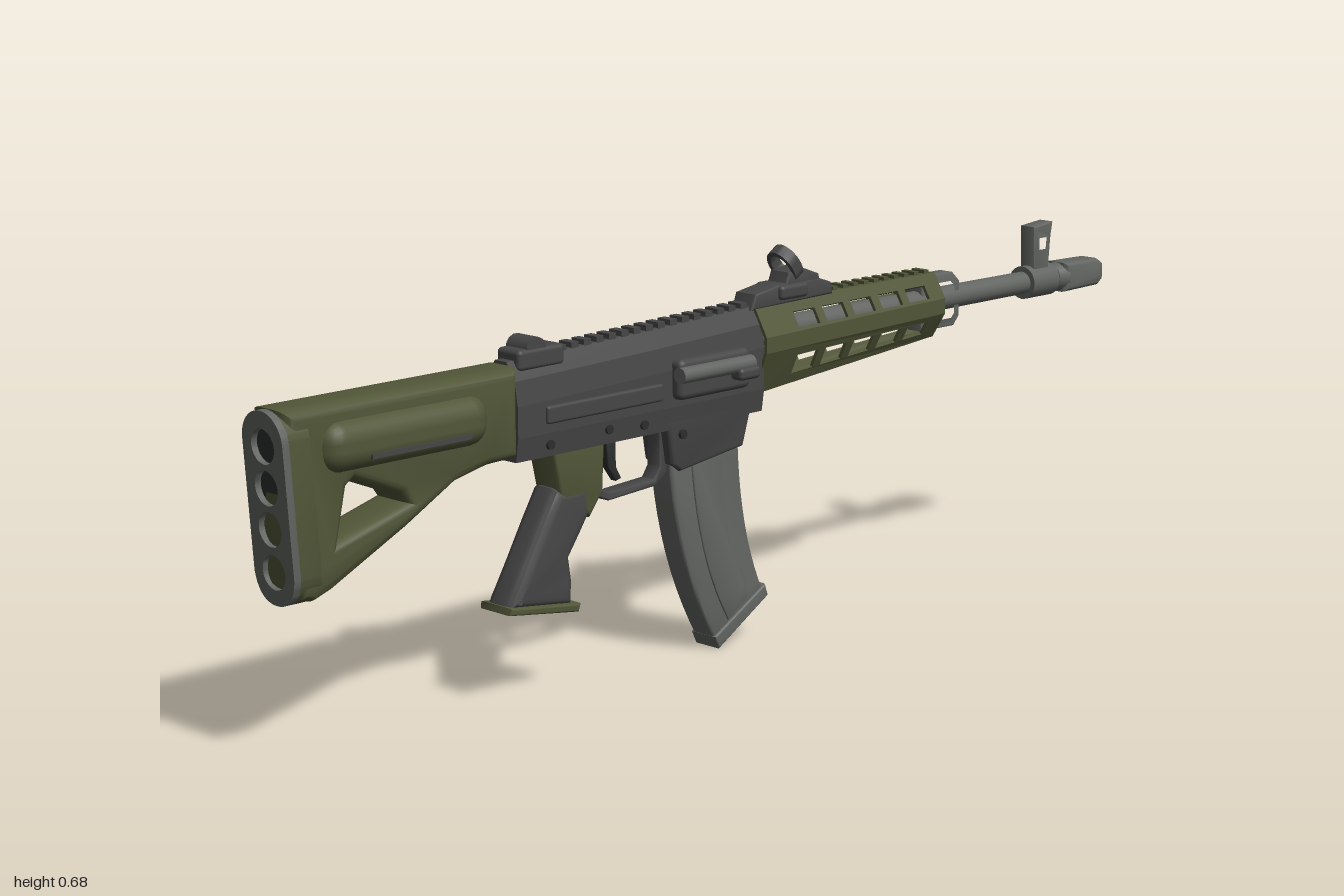
import * as THREE from 'three';
import { toCreasedNormals } from 'three/addons/utils/BufferGeometryUtils.js';
import { RoundedBoxGeometry } from 'three/addons/geometries/RoundedBoxGeometry.js';

const mat = (name, color) => Object.assign(new THREE.MeshStandardMaterial({ color }), { name });

export function createModel() {
  const olive = mat('olive', 0x515638), dark = mat('dark grey', 0x464647);
  const steel = mat('steel grey', 0x626562), black = mat('black', 0x2c2d2d);
  const model = new THREE.Group();
  model.name = 'rifle';
  model.position.x = -0.007;

  const add = (name, geo, m, x = 0, y = 0, z = 0) => {
    const mesh = new THREE.Mesh(geo, m);
    mesh.name = name;
    mesh.position.set(x, y, z);
    model.add(mesh);
    return mesh;
  };
  const box = (name, m, w, h, d, x, y, z) => add(name, new THREE.BoxGeometry(w, h, d), m, x, y, z);
  const rounded = (name, m, w, h, d, r, x, y, z) => add(name, new RoundedBoxGeometry(w, h, d, 3, r), m, x, y, z);
  // Cylinder along z, from z0 to z1
  const rod = (name, m, r0, r1, z0, z1, y, x = 0, sides = 20) =>
    add(name, new THREE.CylinderGeometry(r1, r0, Math.abs(z1 - z0), sides).rotateX(-Math.PI / 2), m, x, y, (z0 + z1) / 2);
  const outline = (pts) => pts.map(([z, y]) => new THREE.Vector2(-z, y));
  // Side profile in [z, y], extruded across x with bevelled edges
  const side = (name, m, pts, width, bevel = 0.006, holes = [], x = 0, bevelX = bevel) => {
    const shape = new THREE.Shape(outline(pts));
    holes.forEach((h) => shape.holes.push(new THREE.Path(outline(h))));
    const geo = new THREE.ExtrudeGeometry(shape, {
      depth: width - 2 * bevelX, bevelEnabled: bevel > 0, bevelSize: bevel,
      bevelThickness: bevelX, bevelOffset: -bevel, bevelSegments: 4,
    });
    geo.translate(0, 0, -(width / 2 - bevelX)).rotateY(Math.PI / 2);
    return add(name, toCreasedNormals(geo, 0.65), m, x);
  };
  // Closed cross-section from the +x half, listed top to bottom
  const ring = (half, z) => [...half, ...half.map(([x, y]) => [-x, y]).reverse()]
    .map(([x, y]) => new THREE.Vector3(x, y, z));
  // Skin over rings ordered from high z to low z
  const loft = (name, m, rings) => {
    const p = [], n = rings[0].length;
    const tri = (...v) => v.forEach((q) => p.push(q.x, q.y, q.z));
    for (let i = 0; i + 1 < rings.length; i++) for (let j = 0; j < n; j++) {
      const k = (j + 1) % n, a = rings[i], b = rings[i + 1];
      tri(a[j], a[k], b[j]);
      tri(a[k], b[k], b[j]);
    }
    const last = rings[rings.length - 1];
    for (let k = 1; k + 1 < n; k++) {
      tri(rings[0][0], rings[0][k + 1], rings[0][k]);
      tri(last[0], last[k], last[k + 1]);
    }
    const geo = new THREE.BufferGeometry();
    geo.setAttribute('position', new THREE.Float32BufferAttribute(p, 3));
    geo.computeVertexNormals();
    return add(name, geo, m);
  };
  const rect = (P, x0, y0, x1, y1) => {
    const s = new P();
    s.moveTo(x0, y0).lineTo(x1, y0).lineTo(x1, y1).lineTo(x0, y1).closePath();
    return s;
  };

  // Stock with skeleton opening and cheek bulge
  side('stock', olive, [[0.985, 0.565], [0.517, 0.567], [0.517, 0.417], [0.58, 0.415], [0.65, 0.4],
    [0.75, 0.345], [0.9, 0.272], [0.935, 0.26], [0.96, 0.265], [0.972, 0.29]], 0.09, 0.018,
  [[[0.885, 0.35], [0.755, 0.387], [0.765, 0.4], [0.855, 0.437], [0.865, 0.43]]], 0, 0.028);
  rounded('cheekRest', olive, 0.134, 0.085, 0.33, 0.036, 0, 0.497, 0.755);
  rounded('stockCollar', olive, 0.08, 0.15, 0.075, 0.02, 0, 0.491, 0.555);
  for (const s of [-1, 1]) box('stockStripe', dark, 0.006, 0.008, 0.2, s * 0.0655, 0.478, 0.74);

  // Butt plate with four recesses
  const buttShape = () => {
    const s = new THREE.Shape();
    s.absarc(0, 0.515, 0.049, 0, Math.PI);
    s.lineTo(-0.049, 0.305);
    s.quadraticCurveTo(-0.042, 0.257, 0, 0.257).quadraticCurveTo(0.042, 0.257, 0.049, 0.305);
    return s;
  };
  const lean = (geo) => {
    const p = geo.attributes.position;
    for (let i = 0; i < p.count; i++) p.setZ(i, p.getZ(i) + (p.getY(i) - 0.565) * 0.07);
    return toCreasedNormals(geo, 0.65);
  };
  const buttBack = new THREE.ExtrudeGeometry(buttShape(), { depth: 0.04, bevelEnabled: false, curveSegments: 16 });
  add('buttEnd', lean(buttBack.translate(0, 0, 0.946)), olive);
  const padShape = buttShape();
  const recesses = [0.508, 0.443, 0.378, 0.31];
  for (const y of recesses) padShape.holes.push(new THREE.Path().absellipse(0, y, 0.028, 0.028, 0, 2 * Math.PI));
  const pad = new THREE.ExtrudeGeometry(padShape, { depth: 0.013, bevelEnabled: false, curveSegments: 10 });
  add('buttPad', lean(pad.translate(0, 0, 0.986)), steel);
  for (const y of recesses) {
    add('buttRecess', lean(new THREE.CircleGeometry(0.029, 10).translate(0, y, 0.988)), black);
  }

  // Receiver
  const upper = (z, top) => ring([[0.014, top], [0.033, top - 0.03], [0.04, top - 0.07], [0.04, 0.45], [0.034, 0.41]], z);
  loft('receiver', dark, [upper(0.52, 0.572), upper(0.2, 0.582), upper(-0.045, 0.592)]);
  side('magazineWell', dark, [[0.2, 0.44], [0.18, 0.41], [0.17, 0.35], [0.15, 0.335], [0, 0.355], [-0.02, 0.42], [-0.04, 0.45]], 0.072, 0.008);
  for (const s of [-1, 1]) {
    rounded('receiverRib', dark, 0.012, 0.03, 0.26, 0.005, s * 0.04, 0.48, 0.33);
    for (const [y, z] of [[0.43, 0.45], [0.435, 0.32], [0.43, 0.24], [0.4, 0.15]]) {
      add('pin', new THREE.CylinderGeometry(0.008, 0.008, 0.084, 10).rotateZ(Math.PI / 2), black, 0, y, z);
    }
  }
  for (let i = 0; i < 16; i++) box('railTooth', dark, 0.03, 0.014, 0.016, 0, 0.577 + i * 0.001, 0.4 - i * 0.028);

  // Bolt handle and ejection cover, on the model's left
  rounded('ejectionCover', dark, 0.035, 0.07, 0.17, 0.012, 0.042, 0.497, 0.09);
  rod('boltHandle', steel, 0.014, 0.014, 0.18, 0.01, 0.507, 0.062, 14);
  rounded('boltKnob', dark, 0.03, 0.022, 0.05, 0.008, 0.068, 0.493, 0.03);

  // Rear sight
  rounded('rearSightBase', dark, 0.056, 0.035, 0.1, 0.008, 0, 0.572, 0.455);
  add('rearSightDrum', new THREE.CylinderGeometry(0.022, 0.022, 0.05, 14).rotateZ(Math.PI / 2), dark, 0, 0.585, 0.465);

  // Grip with collar and base cap
  side('gripCollar', olive, [[0.44, 0.42], [0.32, 0.42], [0.325, 0.33], [0.355, 0.29], [0.42, 0.33]], 0.064, 0.01);
  side('grip', dark, [[0.43, 0.35], [0.46, 0.3], [0.5, 0.23], [0.53, 0.18], [0.535, 0.165], [0.395, 0.147],
    [0.392, 0.19], [0.398, 0.23], [0.37, 0.27], [0.352, 0.297], [0.35, 0.35]], 0.066, 0.02);
  side('gripCap', olive, [[0.538, 0.172], [0.54, 0.16], [0.39, 0.138], [0.385, 0.152]], 0.078, 0.005);

  // Trigger and guard
  side('triggerGuard', dark, [[0.33, 0.42], [0.33, 0.32], [0.3, 0.307], [0.19, 0.314], [0.165, 0.335], [0.165, 0.42]], 0.032, 0.003,
    [[[0.318, 0.41], [0.318, 0.33], [0.295, 0.32], [0.195, 0.326], [0.182, 0.345], [0.182, 0.41]]]);
  side('trigger', black, [[0.3, 0.42], [0.275, 0.42], [0.275, 0.36], [0.263, 0.338], [0.275, 0.335], [0.293, 0.36]], 0.016, 0.003);

  // Curved magazine: left and right edges swept by two curves
  const curve = (...p) => new THREE.QuadraticBezierCurve(...p.map((q) => new THREE.Vector2(...q))).getPoints(10).map((v) => [v.x, v.y]);
  const magazine = (r, f, lo) => [...curve([r, 0.36], [r - 0.015, 0.17], [lo[0], lo[1]]), ...curve([lo[2], lo[3]], [f - 0.005, 0.2], [f, 0.37])];
  side('magazine', steel, magazine(0.168, 0.003, [0.058, 0.015, -0.06, 0.085]), 0.052, 0.006);
  side('magazineRib', steel, magazine(0.12, 0.05, [0.03, 0.05, -0.02, 0.085]), 0.058, 0.003);
  side('magazineFloor', steel, [[0.065, 0.026], [0.054, 0.003], [-0.068, 0.076], [-0.06, 0.098]], 0.06, 0.004);

  // Slotted handguard made of panels around an eight-sided section
  const back = ring([[0.02, 0.594], [0.051, 0.54], [0.051, 0.512], [0.02, 0.437]], -0.04);
  const front = ring([[0.02, 0.594], [0.047, 0.55], [0.047, 0.522], [0.018, 0.476]], -0.51);
  const slotted = { 0: [0.4, 0.9], 2: [0.22, 0.72], 4: [0.28, 0.78], 6: [0.1, 0.6], 7: [0.35, 0.65], 3: [0.3, 0.7] };
  back.forEach((a, j) => {
    const k = (j + 1) % 8, b = back[k], c = front[j], d = front[k];
    const panel = rect(THREE.Shape, 0, 0, 1, 1);
    if (slotted[j]) for (let i = 0; i < 5; i++) {
      const u = 0.18 + i * 0.155;
      panel.holes.push(rect(THREE.Path, u, slotted[j][0], u + 0.115, slotted[j][1]));
    }
    const geo = new THREE.ExtrudeGeometry(panel, { depth: 0.006, bevelEnabled: false });
    const inward = c.clone().sub(a).cross(b.clone().sub(a)).normalize();
    const p = geo.attributes.position;
    for (let i = 0; i < p.count; i++) {
      const u = p.getX(i), v = p.getY(i), w = p.getZ(i);
      const q = a.clone().lerp(c, u).lerp(b.clone().lerp(d, u), v).addScaledVector(inward, w);
      p.setXYZ(i, q.x, q.y, q.z);
    }
    geo.computeVertexNormals();
    add('handguardPanel', geo, olive);
  });
  for (let i = 0; i < 10; i++) box('handguardRailTooth', olive, 0.03, 0.008, 0.012, 0, 0.596, -0.25 - i * 0.027);

  // Gas block loop, barrel and muzzle
  side('gasLoop', steel, [[-0.48, 0.588], [-0.565, 0.588], [-0.585, 0.57], [-0.585, 0.505], [-0.57, 0.488], [-0.48, 0.488]], 0.034, 0.003,
    [[[-0.49, 0.575], [-0.56, 0.575], [-0.573, 0.563], [-0.573, 0.51], [-0.563, 0.5], [-0.49, 0.5]]]);
  rod('barrel', steel, 0.023, 0.021, -0.03, -0.8, 0.539);
  rod('barrelCollar', steel, 0.031, 0.031, -0.785, -0.86, 0.539);
  rod('muzzleNeck', steel, 0.023, 0.023, -0.85, -0.9, 0.539);
  rod('muzzleFlare', steel, 0.024, 0.03, -0.87, -0.895, 0.539);
  side('muzzleBrake', steel, [[-0.885, 0.567], [-0.985, 0.565], [-1, 0.555], [-1, 0.524], [-0.985, 0.513], [-0.885, 0.511]], 0.056, 0.012,
    [-0.908, -0.945].map((z) => [[z, 0.553], [z - 0.024, 0.553], [z - 0.024, 0.527], [z, 0.527]]));
  add('bore', new THREE.CircleGeometry(0.011, 16).rotateY(Math.PI), black, 0, 0.539, -1.0005);

  // Front sight
  side('frontSight', steel, [[-0.8, 0.56], [-0.797, 0.645], [-0.853, 0.65], [-0.848, 0.625], [-0.842, 0.56]], 0.034, 0.003,
    [[[-0.81, 0.625], [-0.838, 0.625], [-0.835, 0.597], [-0.812, 0.597]]]);

  // Reflex sight on its rail mount
  side('opticMount', dark, [[-0.03, 0.585], [-0.04, 0.612], [-0.1, 0.622], [-0.2, 0.622], [-0.23, 0.612], [-0.235, 0.59]], 0.05, 0.005);
  rounded('opticClamp', dark, 0.068, 0.026, 0.07, 0.008, 0, 0.608, -0.13);
  side('opticStem', dark, [[-0.115, 0.615], [-0.125, 0.64], [-0.16, 0.645], [-0.2, 0.63], [-0.205, 0.615]], 0.046, 0.004);
  const hood = new THREE.Shape().absellipse(0, 0, 0.029, 0.037, 0, 2 * Math.PI);
  hood.holes.push(new THREE.Path().absellipse(0, 0, 0.021, 0.028, 0, 2 * Math.PI));
  const hoodGeo = new THREE.ExtrudeGeometry(hood, { depth: 0.022, bevelEnabled: false, curveSegments: 16 });
  add('opticHood', toCreasedNormals(hoodGeo.translate(0, 0, -0.011), 0.65), dark, 0, 0.65, -0.138).rotation.x = 0.6;

  return model;
}
